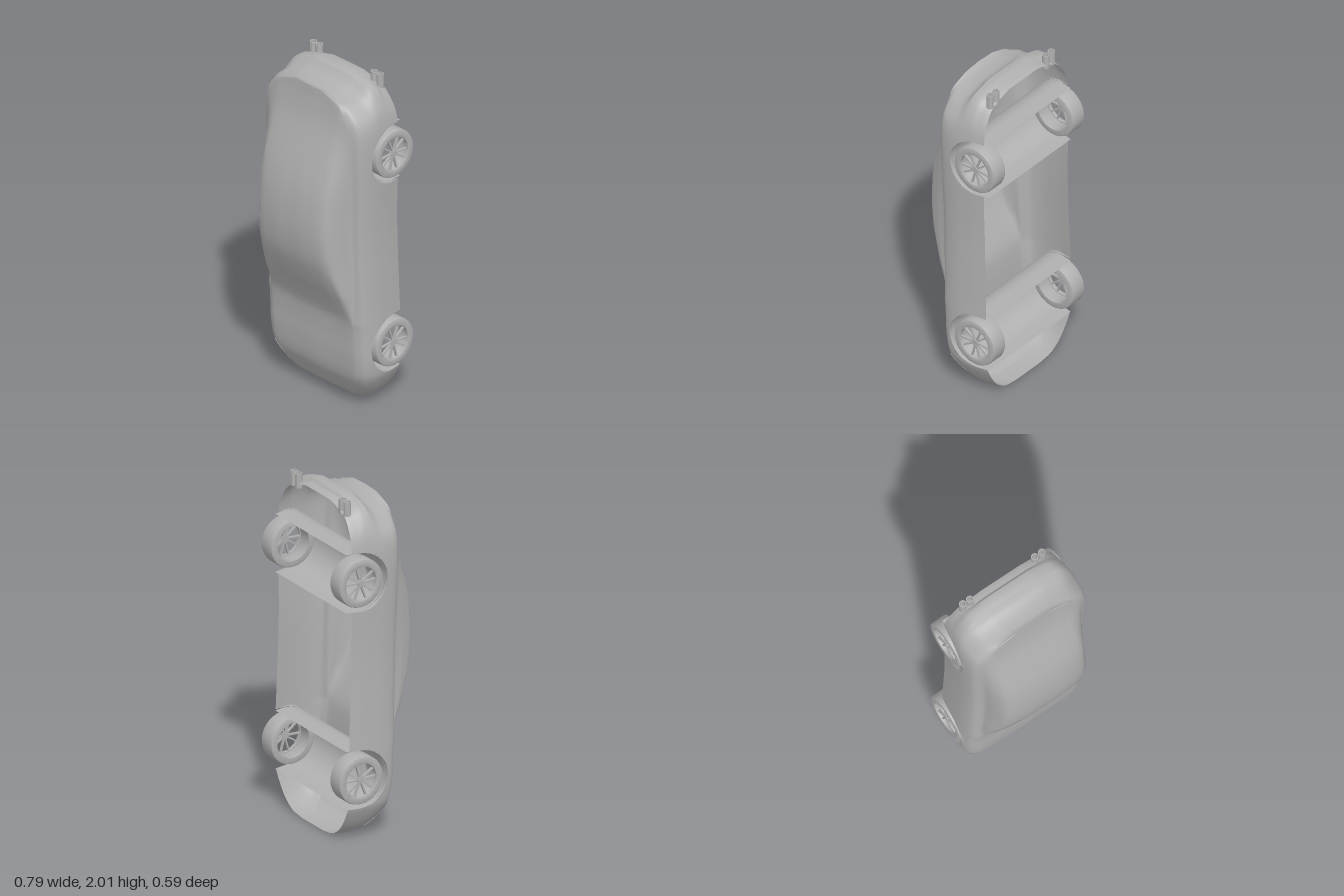
import * as THREE from 'three';
import { toCreasedNormals } from 'three/addons/utils/BufferGeometryUtils.js';

const WHEEL_Y = [0.384, 1.56], WHEEL_Z = -0.153, ARCH_R = 0.174, TAIL = 1.94;

// Smooth function through [input, output] pairs
function curve(...p) {
  const slope = i => {
    const a = p[Math.max(0, i - 1)], b = p[Math.min(p.length - 1, i + 1)];
    return (b[1] - a[1]) / (b[0] - a[0]);
  };
  return x => {
    if (x <= p[0][0]) return p[0][1];
    if (x >= p[p.length - 1][0]) return p[p.length - 1][1];
    let i = 0;
    while (x > p[i + 1][0]) i++;
    const h = p[i + 1][0] - p[i][0], t = (x - p[i][0]) / h;
    return (1 + 2 * t) * (1 - t) ** 2 * p[i][1] + t * (1 - t) ** 2 * h * slope(i)
      + t * t * (3 - 2 * t) * p[i + 1][1] + t * t * (t - 1) * h * slope(i + 1);
  };
}

// Body lines along the length: half width, roof height, belt, roof half width, sill
const halfWidth = curve([0, 0.12], [0.01, 0.2], [0.03, 0.245], [0.07, 0.295], [0.15, 0.35], [0.225, 0.382],
  [0.38, 0.392], [0.7, 0.385], [1.1, 0.38], [1.5, 0.39], [1.68, 0.39], [1.78, 0.377], [1.84, 0.345],
  [1.9, 0.28], [1.925, 0.2], [1.94, 0.14]);
const top = curve([0, -0.1], [0.01, -0.08], [0.04, -0.02], [0.106, 0.03], [0.2, 0.075], [0.33, 0.095],
  [0.465, 0.102], [0.57, 0.115], [0.67, 0.153], [0.81, 0.217], [0.94, 0.265], [1.06, 0.286], [1.18, 0.29],
  [1.31, 0.28], [1.42, 0.26], [1.54, 0.227], [1.656, 0.19], [1.76, 0.16], [1.87, 0.14], [1.94, 0.135]);
const belt = curve([0, 0.09], [0.57, 0.1], [1.2, 0.113], [1.7, 0.125], [1.94, 0.122]);
const roofWidth = curve([0, 0.28], [0.55, 0.315], [0.7, 0.3], [0.8, 0.285], [0.95, 0.265], [1.2, 0.255],
  [1.45, 0.252], [1.65, 0.24], [1.76, 0.235], [1.94, 0.24]);
const sill = curve([0, -0.215], [0.3, -0.222], [0.6, -0.215], [1.2, -0.2], [1.74, -0.2], [1.92, -0.182], [1.94, -0.18]);
// Rearward bulge of the tail by height
const tailBulge = curve([-0.19, 0.03], [-0.165, 0.04], [-0.13, 0.046], [-0.12, 0.06], [-0.07, 0.06], [-0.045, 0.052],
  [-0.02, 0.02], [0.03, 0.002], [0.1, 0], [0.135, 0.012]);

// Cross-section at y, from the right sill over the roof to the left sill
function section(y) {
  const w = halfWidth(y), zt = top(y), zb = sill(y), zs = Math.min(belt(y), zt - 0.012), H = zs - zb;
  const ws = w - 0.06 * Math.min(1, w / 0.35), wr = Math.min(roofWidth(y), ws * 0.85 + 0.02);
  const z6 = zt - 0.006 - 0.026 * THREE.MathUtils.clamp((zt - zs - 0.012) / 0.17, 0, 1);
  const half = [[w - 0.02, zb], [w - 0.005, zb + 0.3 * H], [w, zb + 0.68 * H], [w - 0.02, zb + 0.92 * H], [ws, zs],
    [(ws + wr) / 2 + 0.006, zs + (z6 - zs) * 0.55], [wr, z6], [wr * 0.5, zt - 0.003], [0, zt]];
  const right = half.map(([x, z]) => new THREE.Vector3(-x, y, z));
  const left = half.slice(0, 8).reverse().map(([x, z]) => new THREE.Vector3(x, y, z));
  return new THREE.CatmullRomCurve3([...right, ...left], false, 'centripetal');
}

// Lowest body height at y, raised inside the wheel arches
function archFloor(y) {
  for (const c of WHEEL_Y) {
    const d = Math.abs(y - c);
    if (d < ARCH_R) return WHEEL_Z + Math.sqrt(ARCH_R ** 2 - d * d);
  }
  return -1;
}

// Point on the body; k runs 0..16 across the section
function bodyPoint(y, k, sec = section(y)) {
  const p = sec.getPoint(k / 16);
  p.z = Math.max(p.z, archFloor(y));
  p.y += tailBulge(p.z) * THREE.MathUtils.smoothstep(y, 1.72, 1.9);
  return p;
}

function gridGeometry(rows, capped) {
  const n = rows[0].length, m = rows.length, index = [];
  for (let r = 0; r < m - 1; r++) for (let c = 0; c < n - 1; c++) {
    const a = r * n + c, d = a + n;
    index.push(a, a + 1, d + 1, a, d + 1, d);
  }
  if (capped) for (let j = 0; j < (n - 1) / 2; j++) {
    const l = j, r = n - 1 - j, o = (m - 1) * n;
    index.push(l, r, r - 1, l, r - 1, l + 1);
    index.push(o + l, o + r - 1, o + r, o + l, o + l + 1, o + r - 1);
  }
  const g = new THREE.BufferGeometry();
  g.setAttribute('position', new THREE.Float32BufferAttribute(rows.flat().flatMap(p => p.toArray()), 3));
  g.setIndex(index);
  return toCreasedNormals(g, 0.55);
}

function bodyGeometry() {
  const ys = [];
  for (let i = 0; i <= 110; i++) {
    const t = i / 110;
    ys.push(TAIL * (0.5 * t + 0.5 * (1 - Math.cos(Math.PI * t)) / 2));
  }
  for (const c of WHEEL_Y) for (const s of [-1, 1]) for (const e of [0.0005, -0.0005, -0.004, -0.012])
    ys.push(c + s * (ARCH_R + e));
  ys.sort((a, b) => a - b);
  return gridGeometry(ys.map(y => {
    const sec = section(y);
    return Array.from({ length: 97 }, (_, j) => bodyPoint(y, j / 6, sec));
  }), true);
}

// Thin panel lying just above the body; at(u, v) gives [y, k]
function panelGeometry(at, n = 14) {
  const rows = [];
  for (let i = 0; i <= n; i++) {
    const row = [];
    for (let j = 0; j <= n; j++) {
      const [y, k] = at(j / n, i / n), p = bodyPoint(y, k);
      const du = bodyPoint(y, k + 0.02).sub(p), dy = bodyPoint(y + 0.002, k).sub(p);
      row.push(p.clone().addScaledVector(du.cross(dy).normalize(), 0.003));
    }
    rows.push(row);
  }
  return gridGeometry(rows, false);
}

export function createModel() {
  const car = new THREE.Group();
  car.name = 'car';
  const grey = new THREE.MeshStandardMaterial({ color: 0xb0b0b0, side: THREE.DoubleSide });
  grey.name = 'plain grey';
  const lerp = THREE.MathUtils.lerp;
  const add = (name, geometry, parent = car) => {
    const mesh = new THREE.Mesh(geometry, grey);
    mesh.name = name;
    parent.add(mesh);
    return mesh;
  };

  add('bodyShell', bodyGeometry());

  // Windscreen and rear window
  add('windscreen', panelGeometry((u, v) => {
    const s = 2 * u - 1;
    return [lerp(0.565 + 0.07 * s * s, 0.88, v), 8 + 1.9 * s];
  }));
  add('rearWindow', panelGeometry((u, v) => [lerp(1.46, 1.79 - 0.05 * (2 * u - 1) ** 4, v), 8 + 1.85 * (2 * u - 1)]));

  // Mirrored glass and lamps
  for (const side of [-1, 1]) {
    const k = d => 8 + side * d;
    const across = (u, a, b) => k(side > 0 ? lerp(a, b, u) : lerp(b, a, u));
    const rise = u => side > 0 ? 1 - u : u;
    add('frontSideWindow', panelGeometry((u, v) =>
      [lerp(lerp(0.7, 0.92, rise(u)), 1.17, v), across(u, 2.3, 3.7)]));
    add('rearSideWindow', panelGeometry((u, v) =>
      [lerp(1.185, lerp(1.56, 1.42, rise(u)), v), across(u, 2.3, 3.7)]));
    add('headlamp', panelGeometry((u, v) => [lerp(0.045, 0.2, v), across(u, 4.5, 5.3)]));
    add('tailLamp', panelGeometry((u, v) => [lerp(1.8, 1.93, v), across(u, 5.1, 5.7)]));

    // Twin exhaust tips
    for (const x of [0.218, 0.265]) {
      const wall = [[0.016, 0], [0.021, 0], [0.021, 0.085], [0.016, 0.085], [0.016, 0]];
      const tip = add('exhaustTip', toCreasedNormals(
        new THREE.LatheGeometry(wall.map(p => new THREE.Vector2(...p)), 24), 0.6));
      tip.position.set(side * x, 1.925, -0.163);
    }
  }

  // Full-width wheel wells, open underneath
  for (const c of WHEEL_Y) {
    const profile = [[c - ARCH_R, -0.228]];
    for (let i = 0; i <= 32; i++) {
      const a = Math.PI * (1 - i / 32);
      profile.push([c + ARCH_R * Math.cos(a), WHEEL_Z + ARCH_R * Math.sin(a)]);
    }
    profile.push([c + ARCH_R, -0.228]);
    const rows = profile.map(([y, z]) => [-0.365, 0.365].map(x =>
      new THREE.Vector3(Math.abs(z + 0.228) < 1e-6 ? Math.sign(x) * 0.355 : x, y, z)));
    add('wheelWell', gridGeometry(rows, false));
  }

  // Wheels: tyre with open barrel, rim lip, hub and five pairs of spokes
  const ring = pts => toCreasedNormals(new THREE.LatheGeometry(pts.map(p => new THREE.Vector2(...p)), 48), 0.6);
  const tyre = ring([[0.104, 0.29], [0.132, 0.29], [0.14, 0.294], [0.143, 0.303], [0.143, 0.382],
    [0.14, 0.391], [0.132, 0.395], [0.108, 0.393], [0.104, 0.385], [0.104, 0.29]]);
  const rim = ring([[0.098, 0.368], [0.106, 0.368], [0.108, 0.394], [0.1, 0.392], [0.098, 0.368]]);
  const hub = new THREE.CylinderGeometry(0.019, 0.022, 0.022, 24);
  const spoke = new THREE.BoxGeometry(0.088, 0.014, 0.009);
  spoke.translate(0.058, 0.377, 0);
  for (const y of WHEEL_Y) for (const side of [-1, 1]) {
    const wheel = new THREE.Group();
    wheel.name = 'wheel';
    add('tyre', tyre, wheel);
    add('rim', rim, wheel);
    add('hub', hub, wheel).position.y = 0.377;
    for (let i = 0; i < 10; i++)
      add('spoke', spoke, wheel).rotation.y = Math.floor(i / 2) * Math.PI * 0.4 + (i % 2 ? 0.26 : -0.26);
    wheel.position.set(0, y, WHEEL_Z);
    wheel.rotation.z = -side * Math.PI / 2;
    car.add(wheel);
  }
  return car;
}
